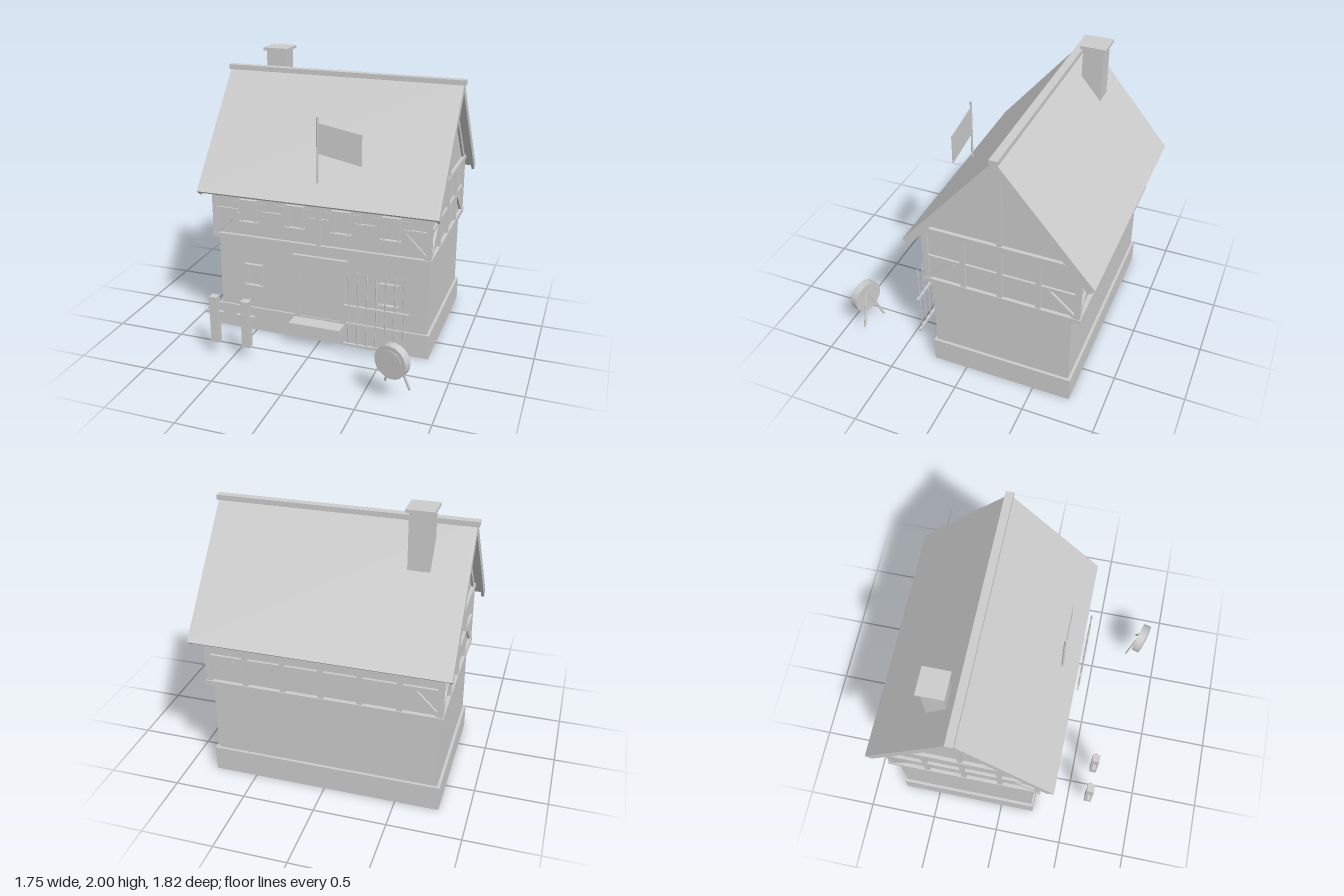
import * as THREE from 'three';

export function createModel() {
  const house = new THREE.Group();
  house.name = 'timberHouse';
  const stone = new THREE.MeshStandardMaterial({ color: 0xcccccc, side: THREE.DoubleSide });
  stone.name = 'plainGrey';
  const ZC = -0.255; // ridge line of the house

  const add = (name, geo, parent = house) => {
    const m = new THREE.Mesh(geo, stone);
    m.name = name;
    parent.add(m);
    return m;
  };
  // box given by its limits
  const box = (name, x0, x1, y0, y1, z0, z1, parent = house) => {
    const m = add(name, new THREE.BoxGeometry(x1 - x0, y1 - y0, z1 - z0), parent);
    m.position.set((x0 + x1) / 2, (y0 + y1) / 2, (z0 + z1) / 2);
    return m;
  };
  // rod or square beam between two points
  const between = (m, a, b) => {
    const p = new THREE.Vector3(...a), q = new THREE.Vector3(...b);
    m.position.copy(p).add(q).multiplyScalar(0.5);
    m.quaternion.setFromUnitVectors(new THREE.Vector3(0, 1, 0), q.sub(p).normalize());
    return m;
  };
  const length = (a, b) => Math.hypot(a[0] - b[0], a[1] - b[1], a[2] - b[2]);
  const rod = (name, a, b, r, parent) =>
    between(add(name, new THREE.CylinderGeometry(r, r, length(a, b), 8), parent), a, b);
  const beam = (name, a, b, wx, wz, parent) =>
    between(add(name, new THREE.BoxGeometry(wx, length(a, b), wz), parent), a, b);
  // profile in (z, y), extruded along x
  const alongX = (name, pts, x0, x1) => {
    const s = new THREE.Shape(pts.map(([z, y]) => new THREE.Vector2(-z, y)));
    const g = new THREE.ExtrudeGeometry(s, { depth: x1 - x0, bevelEnabled: false });
    g.rotateY(Math.PI / 2);
    g.translate(x0, 0, 0);
    return add(name, g);
  };

  // walls
  box('plinth', -0.8, 0.8, 0, 0.18, -0.765, 0.25);
  box('groundFloor', -0.78, 0.78, 0.18, 0.74, -0.745, 0.235);
  alongX('upperFloor', [[0.27, 0.74], [0.27, 1.17], [ZC, 1.8], [-0.78, 1.17], [-0.78, 0.74]], -0.78, 0.78);
  box('sillBeam', -0.805, 0.805, 0.73, 0.765, -0.81, 0.295);

  // roof: thin slabs, deeper verge boards, ridge
  const chevron = (d, e, t) => [[ZC, 1.87], [ZC + e, 1.87 - e * 1.185], [ZC + e - t, 1.87 - e * 1.185 - t * 0.84],
    [ZC, 1.87 - d], [ZC - e + t, 1.87 - e * 1.185 - t * 0.84], [ZC - e, 1.87 - e * 1.185]];
  alongX('roof', chevron(0.036, 0.65, 0.018), -0.855, 0.855);
  for (const s of [-1, 1])
    alongX('vergeBoard', chevron(0.086, 0.65, 0.043), s < 0 ? -0.862 : 0.842, s < 0 ? -0.842 : 0.862);
  box('ridge', -0.875, 0.875, 1.845, 1.88, -0.284, -0.228);
  box('chimney', -0.62, -0.475, 1.4, 1.98, -0.485, -0.34);
  box('chimneyCap', -0.64, -0.455, 1.98, 2, -0.506, -0.325);

  // timber frame on both gables
  for (const s of [-1, 1]) {
    const x0 = s < 0 ? -0.8 : 0.775, x1 = x0 + 0.025, xm = s * 0.786;
    for (const z of [0.27, 0.005, ZC, -0.52, -0.783])
      box('gablePost', x0, x1, 0.765, 1.165, z - 0.018, z + 0.018);
    box('gableRail', x0, x1 - s * 0.004, 0.937, 0.961, -0.78, 0.27);
    box('gableBeam', s < 0 ? -0.805 : 0.775, s < 0 ? -0.775 : 0.805, 1.16, 1.193, -0.82, 0.31);
    box('kingPost', x0, x1, 1.19, 1.79, ZC - 0.017, ZC + 0.017);
    for (const d of [-1, 1]) {
      beam('gableBrace', [xm, 0.765, ZC + d * 0.515], [xm, 0.937, ZC + d * 0.325], 0.022, 0.026);
      beam('gableRafter', [xm, 1.19, ZC + d * 0.51], [xm, 1.785, ZC + d * 0.008], 0.022, 0.034);
    }
  }

  // timber frame on the front and back
  for (const x of [-0.782, 0, 0.782]) box('frontPost', x - 0.018, x + 0.018, 0.765, 1.17, 0.26, 0.29);
  for (const [x, w] of [[-0.69, 0.09], [-0.35, 0.075], [0, 0.075], [0.34, 0.08], [0.69, 0.09]])
    box('frontRail', x - w, x + w, 0.937, 0.961, 0.26, 0.286);
  for (let i = 0; i <= 6; i++) {
    const x = -0.782 + i * 0.2607;
    box('backPost', x - 0.018, x + 0.018, 0.765, 1.17, -0.802, -0.775);
  }
  box('backRail', -0.78, 0.78, 0.937, 0.961, -0.798, -0.775);
  box('frontPlate', -0.8, 0.8, 1.16, 1.193, 0.26, 0.292);
  box('backPlate', -0.8, 0.8, 1.16, 1.193, -0.804, -0.775);
  for (const s of [-1, 1]) for (const z of [0.275, -0.786])
    beam('cornerBrace', [s * 0.775, 0.765, z], [s * 0.605, 0.937, z], 0.026, 0.022);

  // windows
  const windowFrame = (x, y, z) => {
    const w = new THREE.Group();
    w.name = 'window';
    w.position.set(x, y, z);
    house.add(w);
    for (const s of [-1, 1]) box('jamb', s * 0.052 - 0.009, s * 0.052 + 0.009, 0.01, 0.16, -0.01, 0.022, w);
    box('head', -0.067, 0.067, 0.155, 0.173, -0.01, 0.028, w);
    box('sill', -0.071, 0.071, 0, 0.013, -0.01, 0.036, w);
    box('glass', -0.045, 0.045, 0.013, 0.155, -0.002, 0.006, w);
  };
  for (const x of [-0.52, -0.17, 0.17, 0.52]) {
    windowFrame(x, 0.865, 0.27);
    box('windowBoard', x - 0.13, x + 0.13, 0.885, 1.018, 0.268, 0.275);
  }
  for (const x of [-0.508, 0.505]) windowFrame(x, 0.357, 0.233);

  // door
  box('doorPanel', -0.155, 0.155, 0.175, 0.635, 0.22, 0.243);
  for (const s of [-1, 1]) box('doorPost', s * 0.173 - 0.018, s * 0.173 + 0.018, 0.175, 0.635, 0.22, 0.256);
  box('doorLintel', -0.203, 0.203, 0.63, 0.658, 0.22, 0.26);
  box('doorStep', -0.193, 0.19, 0.1, 0.175, 0.265, 0.375);

  // hitching posts
  for (const x of [-0.628, -0.392]) {
    box('hitchingPost', x - 0.028, x + 0.028, 0.1, 0.45, 0.628, 0.682);
    box('postPeg', x - 0.067, x + 0.067, 0.316, 0.34, 0.644, 0.666);
  }

  // spear rack
  for (const y of [0.405, 0.112]) box('rackRail', 0.235, 0.695, y - 0.009, y + 0.009, 0.411, 0.429);
  for (let i = 0; i < 7; i++) {
    const x = 0.27 + i * 0.065;
    rod('spearShaft', [x, 0.1, 0.42], [x, 0.61, 0.42], 0.0045);
    const tip = add('spearTip', new THREE.CylinderGeometry(0.004, 0.008, 0.065, 6));
    tip.position.set(x, 0.635, 0.42);
  }

  // round target on splayed legs
  const target = new THREE.Group();
  target.name = 'target';
  target.position.set(0.7, 0.307, 0.85);
  target.rotation.y = -0.3;
  house.add(target);
  add('targetButt', new THREE.CylinderGeometry(0.116, 0.116, 0.058, 18).rotateX(Math.PI / 2), target);
  add('targetFace', new THREE.CylinderGeometry(0.085, 0.085, 0.006, 18).rotateX(Math.PI / 2), target).position.z = 0.03;
  rod('targetLeg', [0.7, 0.36, 0.83], [0.632, 0.1, 0.757], 0.008);
  rod('targetLeg', [0.71, 0.36, 0.832], [0.81, 0.1, 0.815], 0.008);

  // flag
  rod('flagPole', [0, 1.2, 0.285], [0, 1.68, 0.285], 0.008);
  const cloth = new THREE.Shape([[0.005, 1.43], [0.31, 1.37], [0.31, 1.585], [0.005, 1.64]].map(p => new THREE.Vector2(...p)));
  add('flag', new THREE.ExtrudeGeometry(cloth, { depth: 0.006, bevelEnabled: false })).position.z = 0.282;

  return house;
}
